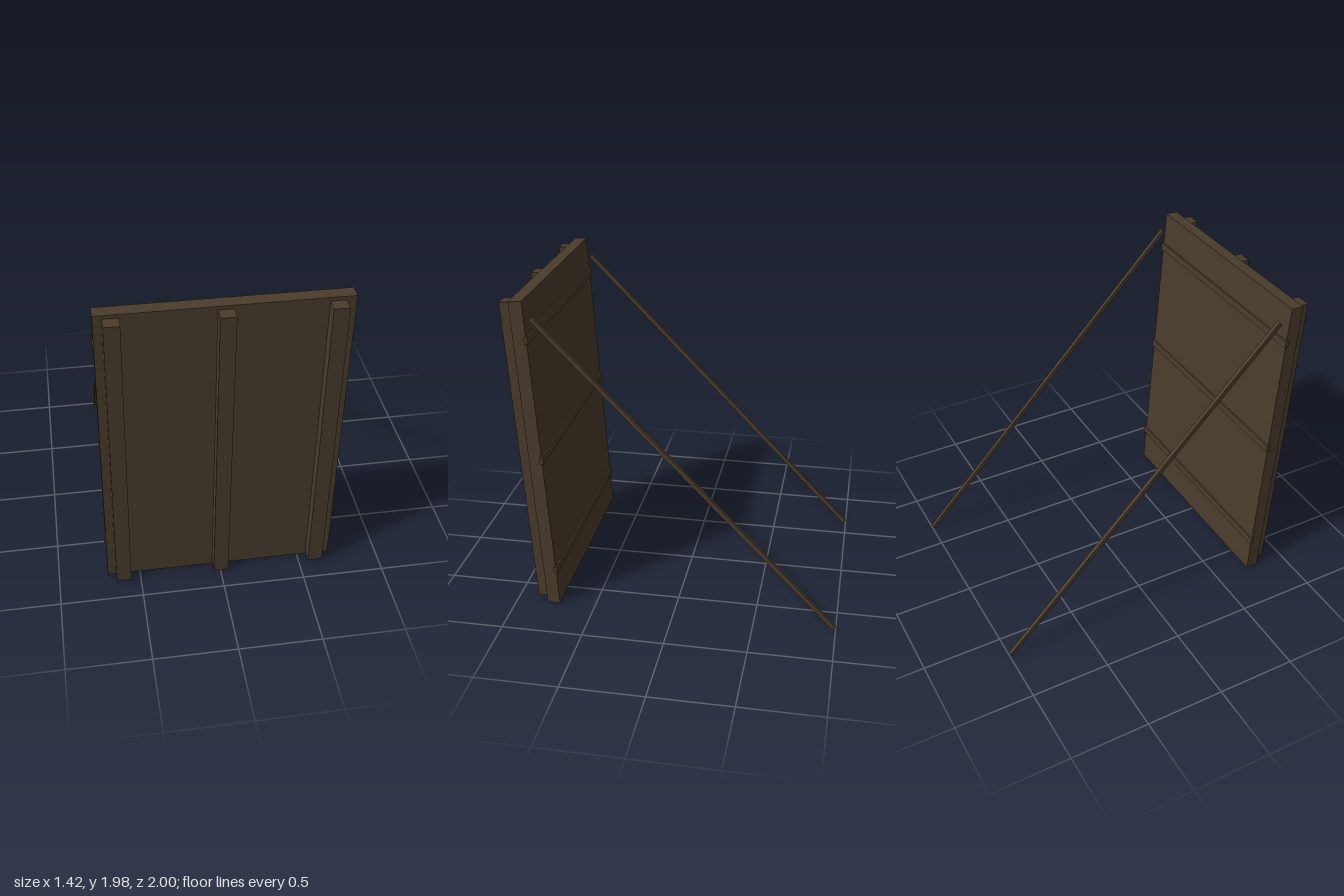
import * as THREE from 'three';

export function createModel() {
  const model = new THREE.Group();
  model.name = 'proppedWoodenBarrier';
  const wood = new THREE.MeshStandardMaterial({ color: 0x4a3c2c });
  wood.name = 'dark brown wood';

  function box(parent, name, size, position) {
    const mesh = new THREE.Mesh(new THREE.BoxGeometry(...size), wood);
    mesh.name = name;
    mesh.position.set(...position);
    parent.add(mesh);
    return mesh;
  }

  // Upright wall, leaning slightly forward
  const wall = new THREE.Group();
  wall.name = 'leaningWall';
  wall.position.set(0, 0.995, 0.822);
  wall.rotation.x = 0.062;
  model.add(wall);
  box(wall, 'panel', [1.4, 1.975, 0.079], [0, 0, 0]);

  // Vertical beams on the front
  for (const x of [-0.605, 0, 0.6]) {
    box(wall, 'frontBeam', [0.09, 1.935, 0.074], [x, -0.002, 0.078]);
  }

  // Thin horizontal battens across the back
  for (const y of [-0.75, 0.005, 0.755]) {
    box(wall, 'backBatten', [1.416, 0.045, 0.022], [0, y, -0.039]);
  }

  // Sloping props from the top of the wall down to the ground behind
  const top = new THREE.Vector2(0.805, 1.88);
  const foot = new THREE.Vector2(-0.99, 0.012);
  const run = top.clone().sub(foot);
  for (const x of [-0.653, 0.676]) {
    const prop = box(model, 'prop', [0.026, run.length(), 0.026],
      [x, (top.y + foot.y) / 2, (top.x + foot.x) / 2]);
    prop.rotation.x = Math.atan2(run.x, run.y);
  }
  return model;
}
